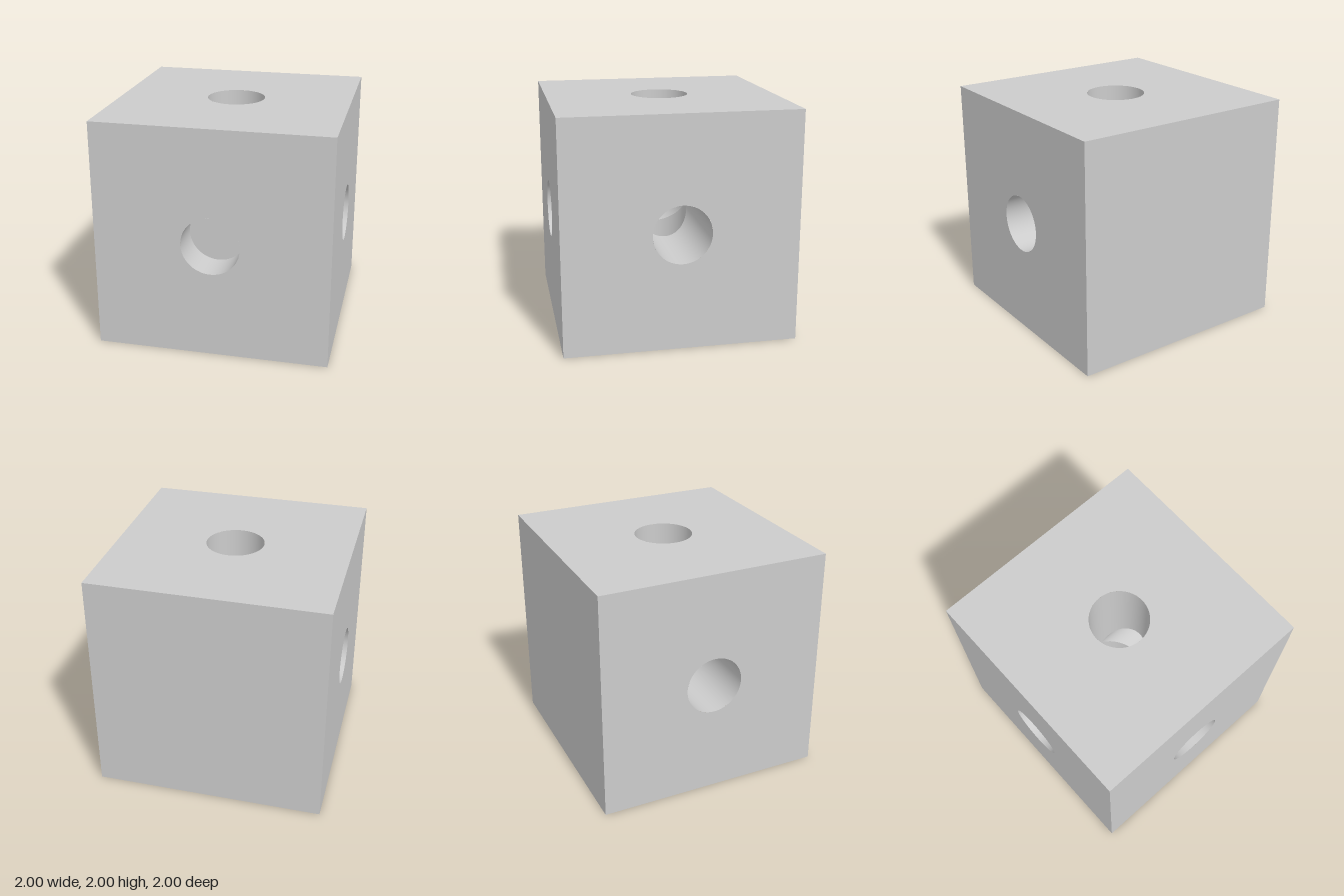
import * as THREE from 'three';

const R = 0.25;      // radius of every bore
const SEG = 64;
const POCKET = 0.3;  // depth of the blind front bore

export function createModel() {
  const model = new THREE.Group();
  const mat = new THREE.MeshStandardMaterial({ color: 0xcccccc });
  const inner = new THREE.MeshStandardMaterial({ color: 0xcccccc, side: THREE.DoubleSide });
  const body = new THREE.Group();
  body.name = 'drilledCube';
  body.position.y = 1;
  model.add(body);

  const add = (name, geometry, material, rx = 0, ry = 0, rz = 0) => {
    const mesh = new THREE.Mesh(geometry, material);
    mesh.name = name;
    mesh.rotation.set(rx, ry, rz);
    body.add(mesh);
    return mesh;
  };

  // Square face of the cube, with or without a round opening
  const face = (open) => {
    const s = new THREE.Shape([[-1, -1], [1, -1], [1, 1], [-1, 1]].map(([x, y]) => new THREE.Vector2(x, y)));
    if (open) s.holes.push(new THREE.Path().absarc(0, 0, R, 0, Math.PI * 2, true));
    return new THREE.ShapeGeometry(s, SEG).translate(0, 0, 1);
  };
  const q = Math.PI / 2;
  add('frontFace', face(true), mat);
  add('backFace', face(false), mat, 0, Math.PI);
  add('leftFace', face(true), mat, 0, q);
  add('rightFace', face(true), mat, 0, -q);
  add('topFace', face(true), mat, -q);
  add('bottomFace', face(true), mat, q);

  // Through bores: four arms whose inner ends are mitred where they cross
  const arm = new THREE.CylinderGeometry(R, R, 2, SEG, 1, true);
  const p = arm.attributes.position;
  for (let i = 0; i < p.count; i++) if (p.getY(i) < 0) p.setY(i, Math.abs(p.getX(i)));
  ['topBore', 'rightBore', 'bottomBore', 'leftBore'].forEach((name, i) => {
    const mesh = add(name, arm, inner, 0, 0, i * q);
    mesh.scale.y = 1;
  });

  // Blind bore in the front
  const wall = new THREE.CylinderGeometry(R, R, POCKET, SEG, 1, true);
  add('frontBore', wall, inner, q).position.z = 1 - POCKET / 2;
  add('frontBoreFloor', new THREE.CircleGeometry(R, SEG), mat).position.z = 1 - POCKET;

  return model;
}
